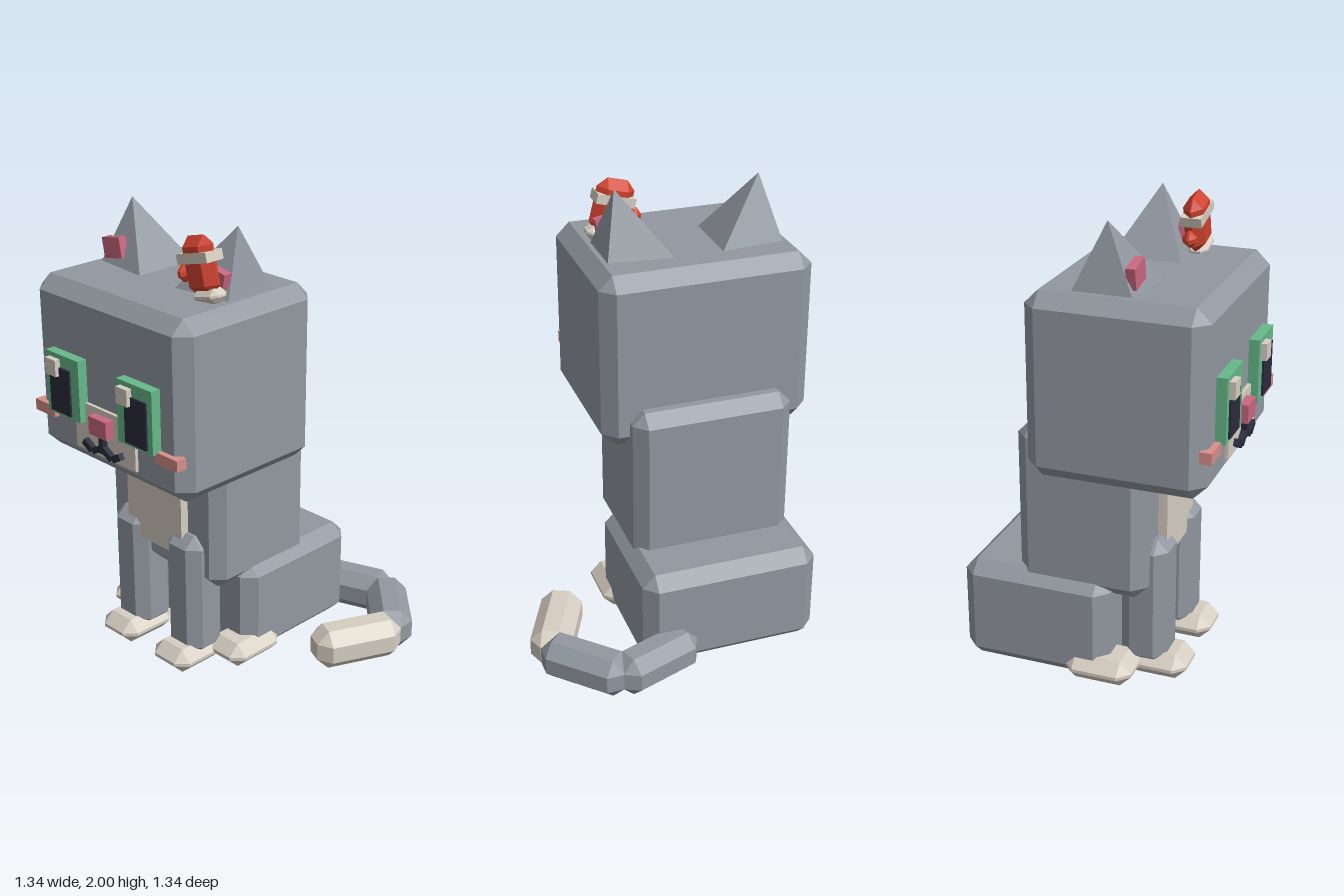
import * as THREE from 'three';
import { ConvexGeometry } from 'three/addons/geometries/ConvexGeometry.js';

const mat = (name, color) => {
  const m = new THREE.MeshStandardMaterial({ color, flatShading: true });
  m.name = name;
  return m;
};

// Box with every edge and corner cut flat
function chamferBox(w, h, d, c) {
  const pts = [];
  for (const sx of [-1, 1]) for (const sy of [-1, 1]) for (const sz of [-1, 1]) {
    const x = w / 2, y = h / 2, z = d / 2;
    pts.push(
      new THREE.Vector3(sx * x, sy * (y - c), sz * (z - c)),
      new THREE.Vector3(sx * (x - c), sy * y, sz * (z - c)),
      new THREE.Vector3(sx * (x - c), sy * (y - c), sz * z));
  }
  return new ConvexGeometry(pts);
}

export function createModel() {
  const grey = mat('grey fur', 0x9298a1);
  const cream = mat('cream fur', 0xd6cec2);
  const red = mat('red', 0xd0432f);
  const green = mat('eye green', 0x66b98a);
  const dark = mat('dark', 0x2b2b3c);
  const pink = mat('pink', 0xc9677f);
  const blush = mat('blush', 0xd68f8a);

  const root = new THREE.Group();
  root.name = 'cat';
  const MID = -0.2; // mirror plane of the body

  function add(name, geometry, material, x, y, z, rz = 0, ry = 0) {
    const mesh = new THREE.Mesh(geometry, material);
    mesh.name = name;
    mesh.position.set(x, y, z);
    mesh.rotation.set(0, ry, rz);
    root.add(mesh);
    return mesh;
  }
  // Chamfered or plain box given by its extents
  function block(name, material, x0, x1, y0, y1, z0, z1, c = 0) {
    const s = [x1 - x0, y1 - y0, z1 - z0];
    const g = c ? chamferBox(...s, c) : new THREE.BoxGeometry(...s);
    return add(name, g, material, (x0 + x1) / 2, (y0 + y1) / 2, (z0 + z1) / 2);
  }

  // Head, torso, haunches and chest
  block('head', grey, -0.67, 0.27, 0.95, 1.73, -0.155, 0.6, 0.06);
  block('torso', grey, -0.56, 0.16, 0.4, 1.13, -0.245, 0.32, 0.055);
  block('haunches', grey, -0.6, 0.2, 0.01, 0.475, -0.49, 0.17, 0.057);
  block('chest', cream, -0.375, -0.025, 0.53, 1.0, 0.28, 0.36);

  // Muzzle, nose and mouth
  block('muzzle', cream, -0.39, -0.01, 1.03, 1.245, 0.58, 0.615);
  block('nose', pink, -0.255, -0.145, 1.14, 1.22, 0.6, 0.655);
  block('mouthLine', dark, -0.213, -0.187, 1.06, 1.15, 0.605, 0.64);

  for (const s of [-1, 1]) {
    const side = s < 0 ? 'right' : 'left';
    const X = (d) => MID + s * d;

    // Legs and paws
    add(side + 'FrontLeg', chamferBox(0.205, 0.59, 0.205, 0.05), grey, X(0.173), 0.345, 0.283);
    add(side + 'FrontPaw', chamferBox(0.225, 0.115, 0.29, 0.05), cream, X(0.175), 0.0575, 0.33);
    add(side + 'RearPaw', chamferBox(0.225, 0.115, 0.3, 0.05), cream, X(0.325), 0.068, 0.13);

    // Ear: pyramid leaning outward
    const b = [[0.105, 0], [0.39, 0.03], [0.39, 0.28], [0.105, 0.31]];
    const pts = b.map(([x, z]) => new THREE.Vector3(s * x, 1.725, z));
    pts.push(new THREE.Vector3(s * 0.32, 2, 0.155));
    add(side + 'Ear', new ConvexGeometry(pts), grey, MID, 0, 0);
    add(side + 'InnerEar', new THREE.BoxGeometry(0.113, 0.09, 0.04), pink, X(0.312), 1.803, 0.265, -s * 0.19);

    // Eye, pupil, glint and cheek
    add(side + 'Eye', new THREE.BoxGeometry(0.213, 0.275, 0.065), green, X(0.228), 1.298, 0.612);
    add(side + 'Pupil', new THREE.BoxGeometry(0.13, 0.205, 0.02), dark, X(0.24), 1.277, 0.643);
    add(side + 'Glint', new THREE.BoxGeometry(0.068, 0.073, 0.03), cream, s < 0 ? -0.475 : -0.02, 1.378, 0.655);
    add(side + 'Cheek', new THREE.BoxGeometry(0.13, 0.05, 0.05), blush, X(0.388), 1.146, 0.6);

    // Mouth curl, two strokes per side
    add(side + 'MouthInner', new THREE.BoxGeometry(0.065, 0.027, 0.03), dark, X(0.03), 1.068, 0.625, -s * 0.52);
    add(side + 'MouthOuter', new THREE.BoxGeometry(0.055, 0.03, 0.03), dark, X(0.093), 1.068, 0.625, s * 0.52);
  }

  // Tail curling round to the left
  const tail = () => chamferBox(0.405, 0.185, 0.185, 0.054);
  add('tailBase', tail(), grey, 0.177, 0.115, -0.536, 0, 0.345);
  add('tailMiddle', tail(), grey, 0.468, 0.115, -0.471, 0, -0.785);
  add('tailTip', tail(), cream, 0.52, 0.115, -0.183, 0, 1.14);

  // Striped ornament beside the left ear
  const ornament = new THREE.Group();
  ornament.name = 'ornament';
  ornament.position.set(0.08, 1.865, 0.32);
  ornament.rotation.z = 0.25;
  root.add(ornament);
  const bit = (name, g, m, x, y) => {
    const mesh = new THREE.Mesh(g, m);
    mesh.name = name;
    mesh.position.set(x, y, 0);
    ornament.add(mesh);
  };
  bit('ornamentBody', chamferBox(0.17, 0.24, 0.085, 0.04), red, 0, 0);
  bit('ornamentStripe', new THREE.BoxGeometry(0.175, 0.042, 0.09), cream, 0, 0.035);
  bit('ornamentFoot', chamferBox(0.145, 0.06, 0.09, 0.025), cream, 0.02, -0.122);
  bit('ornamentFin', chamferBox(0.065, 0.07, 0.06, 0.025), red, -0.108, -0.028);

  return root;
}
